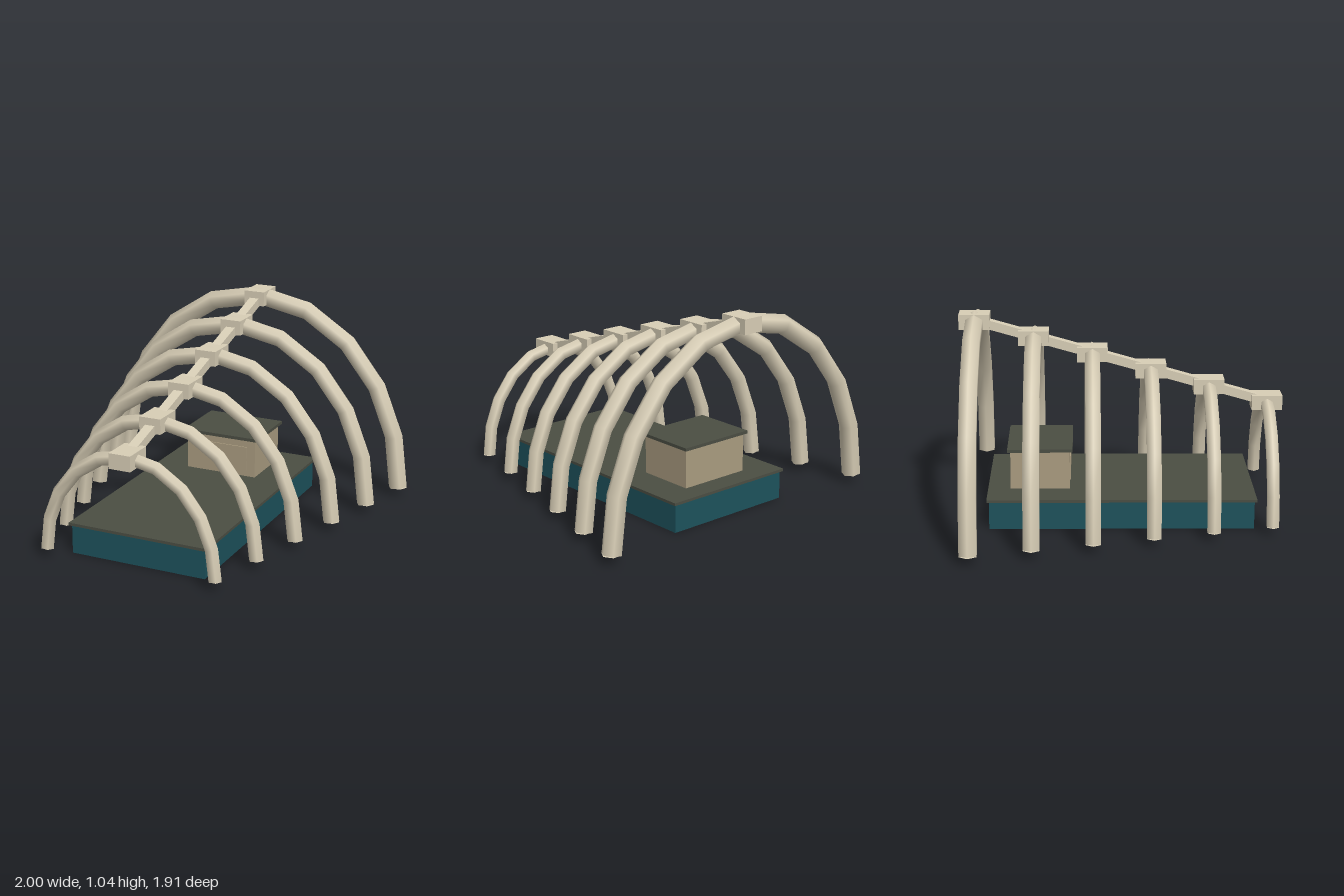
import * as THREE from 'three';

const material = (color, side = THREE.FrontSide) => new THREE.MeshStandardMaterial({ color, side });
const bone = material(0xd8ceb6);
const boneTube = material(0xd8ceb6, THREE.DoubleSide);
const teal = material(0x1d525c);
const dark = material(0x4b4e43);
const tan = material(0xaa9c80);

const RIBS = 6;
const FOOT_Y = 0.045;
const lerp = THREE.MathUtils.lerp;

function addBox(parent, name, mat, size, position) {
  const mesh = new THREE.Mesh(new THREE.BoxGeometry(...size), mat);
  mesh.name = name;
  mesh.position.set(...position);
  parent.add(mesh);
  return mesh;
}

// Half-elliptical arch with a six-sided section, ridge outward, feet capped
function makeRib(halfWidth, peakY, radius) {
  const rib = new THREE.Group();
  rib.name = 'rib';
  const points = [];
  for (let i = 0; i <= 10; i++) {
    const a = (i / 10) * Math.PI;
    points.push(new THREE.Vector3(0, FOOT_Y + Math.sin(a) * (peakY - FOOT_Y), Math.cos(a) * halfWidth));
  }
  const curve = new THREE.CatmullRomCurve3(points);
  // Quarter turn of the section so that one ridge runs along the outside
  const baseFrames = curve.computeFrenetFrames.bind(curve);
  curve.computeFrenetFrames = (segments, closed) => {
    const f = baseFrames(segments, closed);
    return { tangents: f.tangents, normals: f.binormals, binormals: f.normals.map((n) => n.clone().negate()) };
  };
  const arch = new THREE.Mesh(new THREE.TubeGeometry(curve, 10, radius, 6, false), boneTube);
  arch.name = 'ribArch';
  rib.add(arch);
  for (const s of [-1, 1]) {
    const cap = new THREE.Mesh(new THREE.CircleGeometry(radius, 6, Math.PI / 2), boneTube);
    cap.name = 'ribFoot';
    cap.rotation.x = Math.PI / 2;
    cap.position.set(0, FOOT_Y, s * halfWidth);
    rib.add(cap);
  }
  return rib;
}

export function createModel() {
  const model = new THREE.Group();
  model.name = 'ribbedShelter';

  // Everything is laid out along x, then turned as a whole
  const body = new THREE.Group();
  body.name = 'body';
  body.rotation.y = 0.555;
  model.add(body);
  const zMid = 0.077;

  // Platform
  addBox(body, 'platformBase', teal, [1.325, 0.145, 0.7], [-0.175, 0.0725, zMid]);
  addBox(body, 'platformDeck', dark, [1.348, 0.014, 0.724], [-0.175, 0.15, zMid]);

  // Cabin
  addBox(body, 'cabinWalls', tan, [0.3, 0.2, 0.38], [0.235, 0.255, zMid]);
  addBox(body, 'cabinRoof', dark, [0.33, 0.016, 0.41], [0.235, 0.361, zMid]);
  addBox(body, 'cabinPanel', tan, [0.01, 0.125, 0.29], [0.084, 0.2525, zMid]);

  // Ribs, growing toward +x, each with a block at its peak
  const peaks = [];
  for (let i = 0; i < RIBS; i++) {
    const t = i / (RIBS - 1);
    const peak = new THREE.Vector3(lerp(-0.919, 0.563, t), lerp(0.567, 0.99, t), zMid);
    const rib = makeRib(lerp(0.44, 0.802, t), peak.y, lerp(0.034, 0.049, t));
    rib.position.set(peak.x, 0, zMid);
    body.add(rib);
    addBox(body, 'spineBlock', bone, [0.155, 0.075, 0.11], peak.toArray());
    peaks.push(peak);
  }

  // Sloping spine bars between the blocks
  for (let i = 1; i < RIBS; i++) {
    const a = peaks[i - 1], b = peaks[i];
    const mid = a.clone().lerp(b, 0.5);
    const bar = addBox(body, 'spineBar', bone, [a.distanceTo(b), 0.045, 0.05], mid.toArray());
    bar.rotation.z = Math.atan2(b.y - a.y, b.x - a.x);
  }

  return model;
}
